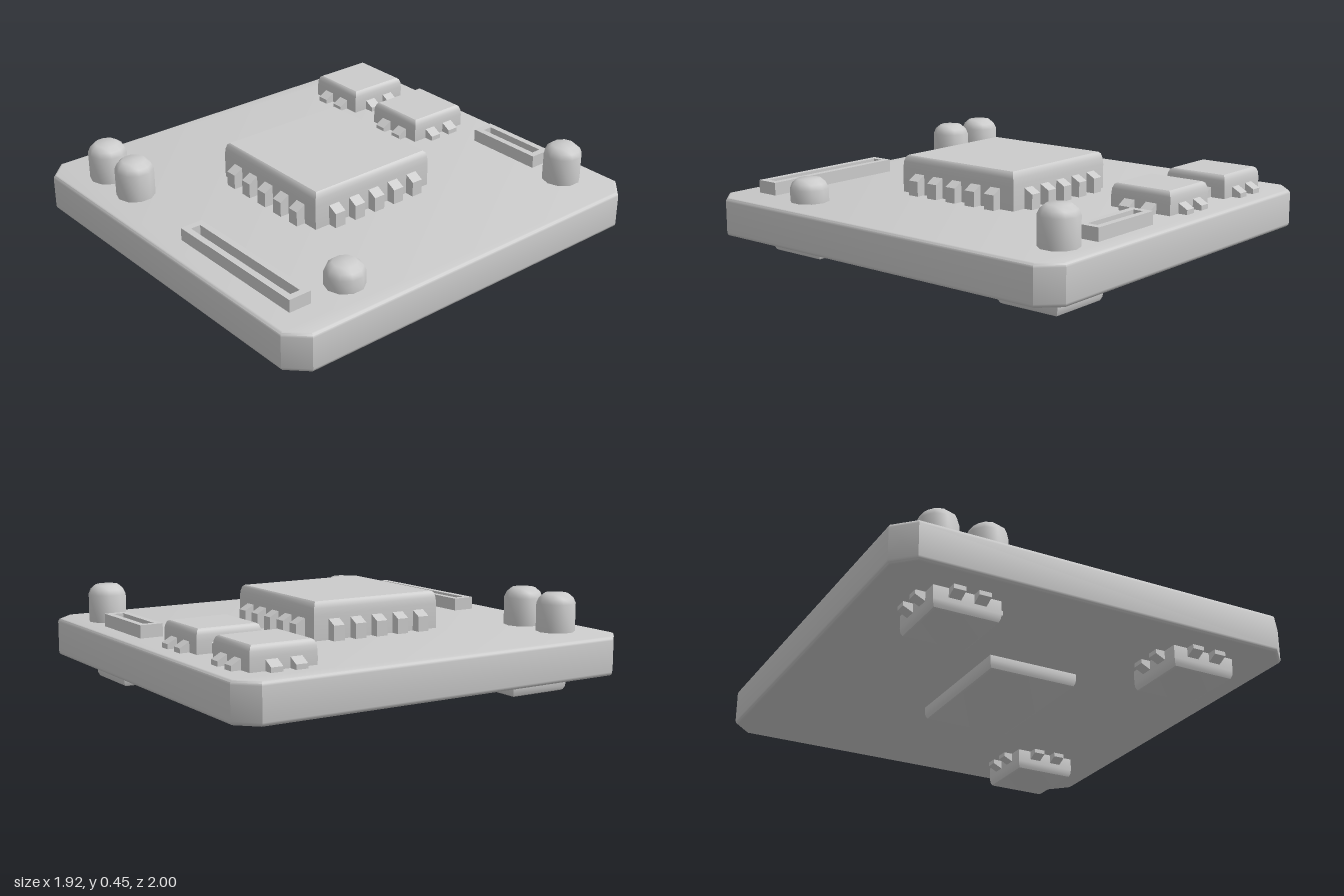
import * as THREE from 'three';
import { toCreasedNormals } from 'three/addons/utils/BufferGeometryUtils.js';

const TOP = 0.28, BOTTOM = 0.1;
const material = new THREE.MeshStandardMaterial({ color: 0xcccccc });

function addMesh(parent, name, geometry) {
  const mesh = new THREE.Mesh(geometry, material);
  mesh.name = name;
  parent.add(mesh);
  return mesh;
}

function rectangle(w, d, cut = 0) {
  const x = w / 2, y = d / 2;
  const pts = cut
    ? [[x - cut, -y], [x, cut - y], [x, y - cut], [x - cut, y], [cut - x, y], [-x, y - cut], [-x, cut - y], [cut - x, -y]]
    : [[x, -y], [x, y], [-x, y], [-x, -y]];
  return new THREE.Shape(pts.map(p => new THREE.Vector2(...p)));
}

// Upright slab between y0 and y1 with softened upper and lower rims
function slab(shape, y0, y1, inset, rise) {
  const g = new THREE.ExtrudeGeometry(shape, {
    depth: y1 - y0 - 2 * rise, bevelSize: inset, bevelOffset: -inset,
    bevelThickness: rise, bevelSegments: 3
  });
  g.rotateX(-Math.PI / 2).translate(0, y0 + rise, 0);
  return toCreasedNormals(g, 0.6);
}

// Square chip with sloped pins along its four sides
function chip(name, w, d, height, rise, pins, pinHigh, pinLow) {
  const group = new THREE.Group();
  group.name = name;
  // The lower rim is sunk into the board
  addMesh(group, 'chipBody', slab(rectangle(w, d), -rise, height, 0.018, rise));
  if (!pins) return group;
  const profile = new THREE.Shape([[-0.02, 0], [0.045, 0], [0.045, pinLow], [0, pinHigh], [-0.02, pinHigh]]
    .map(p => new THREE.Vector2(...p)));
  const pinGeometry = new THREE.ExtrudeGeometry(profile, { depth: 0.056, bevelEnabled: false });
  pinGeometry.translate(0, 0, -0.028);
  for (let side = 0; side < 4; side++) {
    const row = new THREE.Group();
    row.name = 'pinRow';
    row.rotation.y = side * Math.PI / 2;
    for (let i = 0; i < pins; i++) {
      const pin = addMesh(row, 'pin', pinGeometry);
      pin.position.set((side % 2 ? d : w) / 2, 0, (i - (pins - 1) / 2) * 0.115);
    }
    group.add(row);
  }
  return group;
}

// Round capacitor with a domed shoulder
function capacitor(height) {
  const pts = [[0.09, -0.01], [0.09, height - 0.045], [0.079, height - 0.02], [0.055, height], [0, height]]
    .map(p => new THREE.Vector2(...p));
  return toCreasedNormals(new THREE.LatheGeometry(pts, 10), 0.8);
}

// Long socket: a rim around an open slot
function socket(length) {
  const shape = rectangle(length, 0.11);
  shape.holes.push(new THREE.Path(rectangle(length - 0.065, 0.048).getPoints().reverse()));
  const g = new THREE.ExtrudeGeometry(shape, { depth: 0.06, bevelEnabled: false });
  return g.rotateX(-Math.PI / 2);
}

export function createModel() {
  const model = new THREE.Group();
  model.name = 'circuitBoard';

  addMesh(model, 'board', slab(rectangle(1.92, 2, 0.09), BOTTOM, TOP, 0.015, 0.018));

  // Upper chips
  const mainChip = chip('mainChip', 0.67, 0.67, 0.175, 0.06, 5, 0.095, 0.07);
  mainChip.position.set(-0.005, TOP, 0.045);
  model.add(mainChip);
  for (const x of [-0.64, -0.19]) {
    const c = chip('smallChip', 0.305, 0.315, 0.108, 0.05, 2, 0.047, 0.022);
    c.position.set(x, TOP, -0.713);
    model.add(c);
  }

  // Chips on the underside, hanging upside down
  for (const [x, z] of [[0.585, 0.685], [0.585, -0.7], [-0.575, 0.685]]) {
    const c = chip('lowerChip', 0.31, 0.315, BOTTOM, 0.04, 2, 0.042, 0.02);
    c.position.set(x, BOTTOM, z);
    c.rotation.x = Math.PI;
    model.add(c);
  }
  const plate = chip('lowerPlate', 0.44, 0.667, 0.063, 0.04, 0);
  plate.position.set(-0.005, BOTTOM, 0.045);
  plate.rotation.x = Math.PI;
  model.add(plate);

  // Capacitors
  for (const [x, z, h] of [[-0.695, 0.8, 0.175], [-0.465, 0.8, 0.175], [0.685, -0.82, 0.175], [0.75, 0.57, 0.105]]) {
    addMesh(model, 'capacitor', capacitor(h)).position.set(x, TOP, z);
  }

  // Sockets
  for (const [x, z, length] of [[0.335, -0.847, 0.39], [0.402, 0.828, 0.755]]) {
    addMesh(model, 'socket', socket(length)).position.set(x, TOP, z);
  }
  return model;
}
